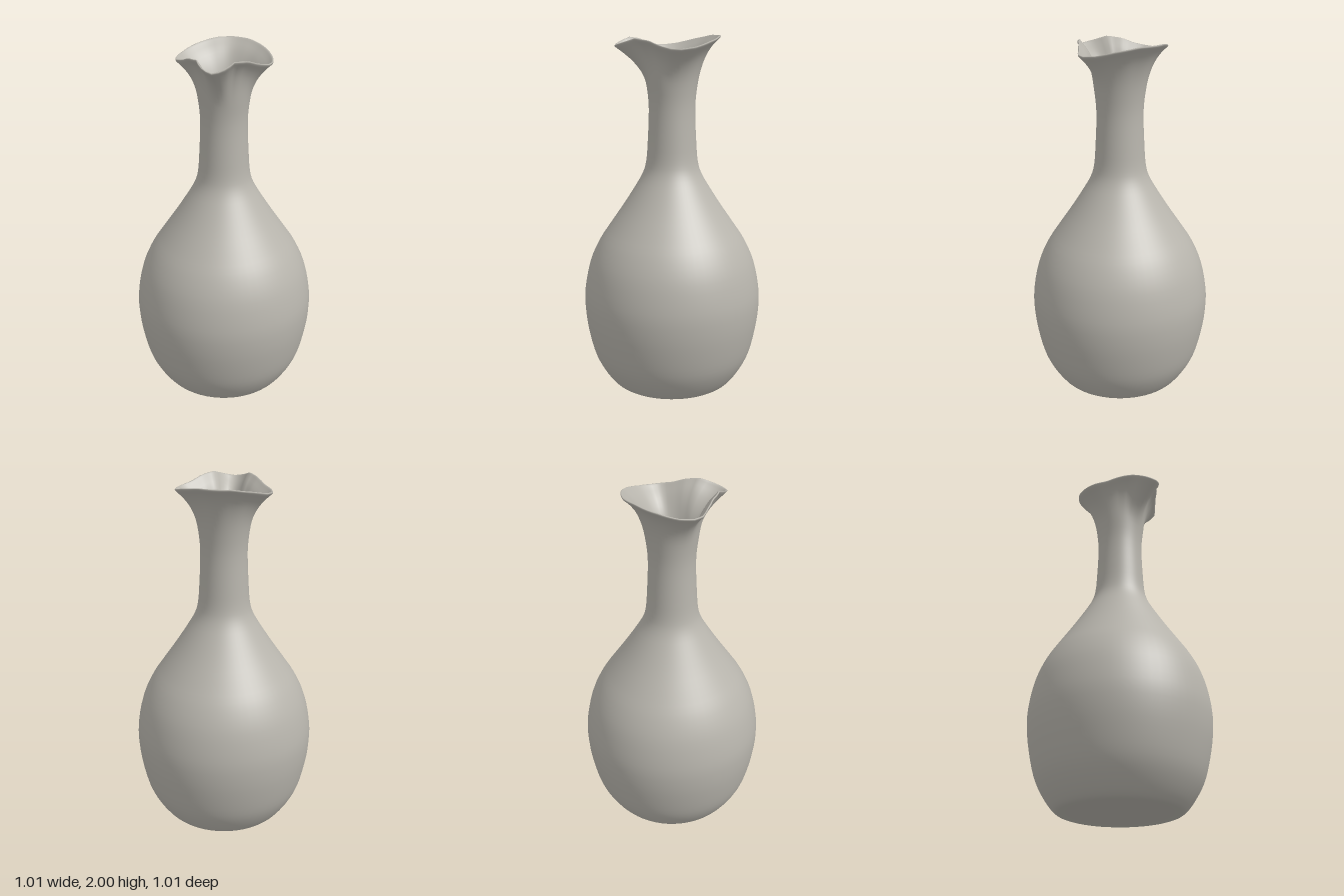
import * as THREE from 'three';
import { mergeVertices } from 'three/addons/utils/BufferGeometryUtils.js';

// Rim outline, mirrored left to right: [degrees from the front, radius, height]
const RIM = [
  [0, 0.315, 1.952], [8, 0.303, 1.96], [24, 0.243, 1.99], [45, 0.22, 1.98],
  [63, 0.226, 1.955], [78, 0.253, 1.942], [90, 0.26, 1.94], [108, 0.258, 1.95],
  [132, 0.255, 1.975], [160, 0.261, 1.998], [180, 0.27, 2.0],
];

function rimAt(deg) {
  let i = 1;
  while (i < RIM.length - 1 && RIM[i][0] < deg) i++;
  const a = RIM[i - 1], b = RIM[i];
  const t = (deg - a[0]) / (b[0] - a[0]);
  return { r: a[1] + (b[1] - a[1]) * t, y: a[2] + (b[2] - a[2]) * t };
}

export function createModel() {
  const group = new THREE.Group();
  group.name = 'vase';
  const clay = new THREE.MeshStandardMaterial({ color: 0xb8b5ad });
  clay.name = 'grey clay';

  // Closed profile: underside, outer wall, lip, inner wall, inner floor
  const profile = [
    [0, 0.012], [0.15, 0.012], [0.28, 0.01], [0.325, 0.003], [0.365, 0.03],
    [0.42, 0.11], [0.46, 0.2], [0.49, 0.33], [0.505, 0.45], [0.503, 0.57],
    [0.472, 0.72], [0.42, 0.84], [0.355, 0.94], [0.28, 1.05], [0.21, 1.16],
    [0.165, 1.24], [0.145, 1.31], [0.136, 1.42], [0.129, 1.6], [0.139, 1.72],
    [0.157, 1.81], [0.185, 1.88], [0.22, 1.93], [0.253, 1.963],
    [0.249, 1.972], [0.232, 1.955], [0.19, 1.91], [0.15, 1.84], [0.12, 1.74],
    [0.107, 1.6], [0.112, 1.4], [0.122, 1.3], [0.185, 1.16], [0.33, 0.94],
    [0.445, 0.72], [0.478, 0.5], [0.435, 0.2], [0.34, 0.06], [0.15, 0.04], [0, 0.04],
  ].map(([x, y]) => new THREE.Vector2(x, y));
  const points = new THREE.SplineCurve(profile).getPoints(117);
  points.forEach((p) => { p.x = Math.max(0, p.x); p.y = Math.max(0, p.y); });

  // Turn the profile, then pull the lip into a wavy, spouted outline
  const lathe = new THREE.LatheGeometry(points, 60);
  const pos = lathe.attributes.position;
  for (let i = 0; i < pos.count; i++) {
    const x = pos.getX(i), y = pos.getY(i), z = pos.getZ(i);
    const w = THREE.MathUtils.smoothstep(y, 1.72, 1.96);
    if (w === 0) continue;
    const rim = rimAt(Math.abs(Math.atan2(x, z)) * 180 / Math.PI);
    const scale = 1 + w * (rim.r / 0.254 - 1);
    pos.setXYZ(i, x * scale, y + w * (rim.y - 1.972), z * scale);
  }
  // Weld the seam so shading runs smoothly all round
  lathe.deleteAttribute('uv');
  lathe.deleteAttribute('normal');
  const body = mergeVertices(lathe, 1e-4);
  body.computeVertexNormals();

  const mesh = new THREE.Mesh(body, clay);
  mesh.name = 'vaseBody';
  group.add(mesh);
  return group;
}
